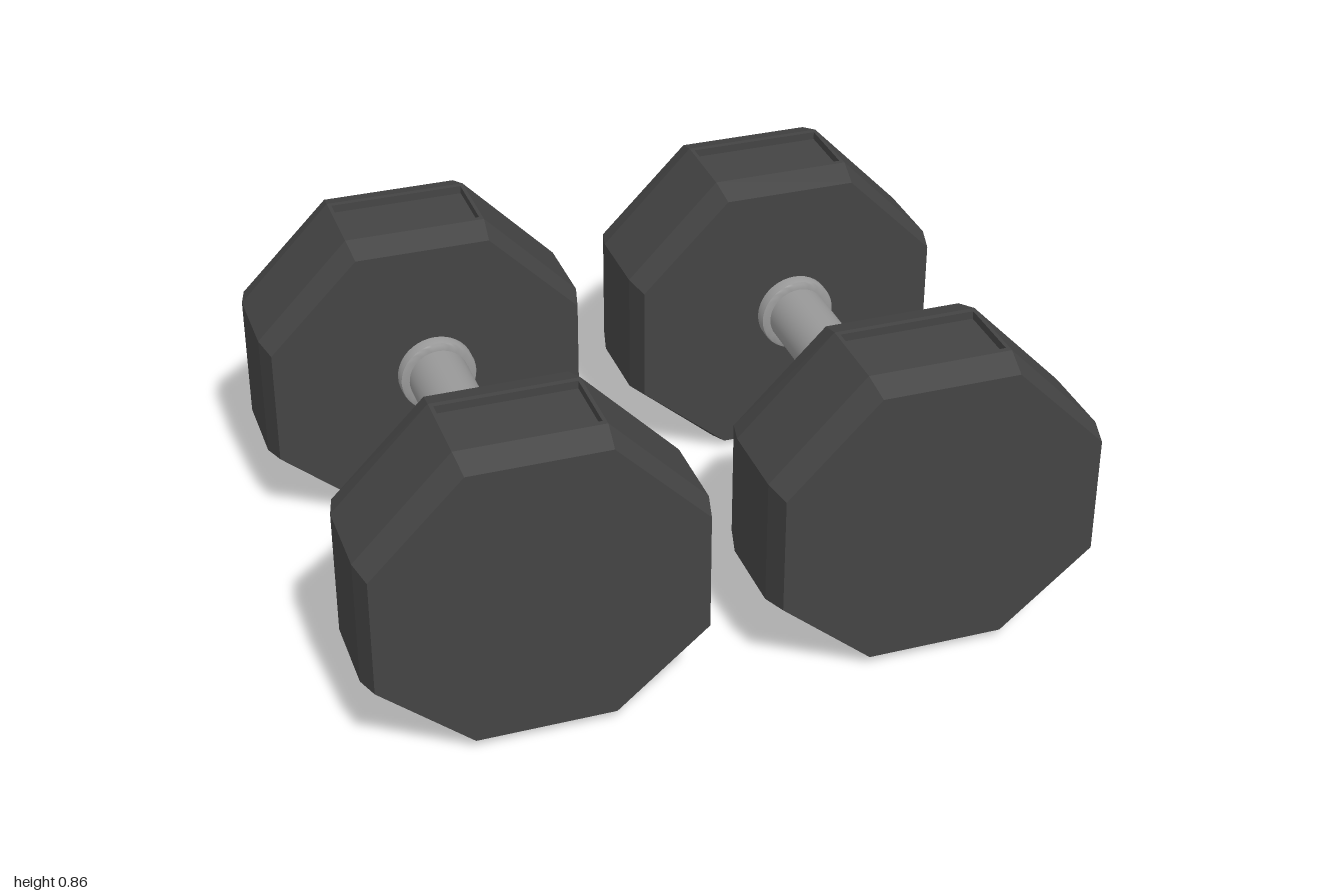
import * as THREE from 'three';
import { toCreasedNormals } from 'three/addons/utils/BufferGeometryUtils.js';

const darkMat = new THREE.MeshStandardMaterial({ color: 0x444444, flatShading: true });
const steelMat = new THREE.MeshStandardMaterial({ color: 0x999999 });

const HEAD_Y = 0.4275, HANDLE_Y = 0.441, HANDLE_OFFSET = 0.02;

// Eight-sided head, chamfered at both ends, with a sunken plate in its top facet
function headGeometry() {
  const pos = [];
  const tri = (...pts) => pts.forEach((p) => pos.push(...p));
  const quad = (a, b, c, d) => tri(a, b, c, a, c, d);
  const band = (a, b, skip = -1) => a.forEach((p, i) => {
    const j = (i + 1) % a.length;
    if (i !== skip) quad(p, b[i], b[j], a[j]);
  });
  const cap = (loop) => {
    for (let i = 1; i < loop.length - 1; i++) tri(loop[0], loop[i], loop[i + 1]);
  };

  const outline = [
    [0.46, -0.2], [0.46, 0.157], [0.197, 0.4275], [-0.197, 0.4275],
    [-0.46, 0.157], [-0.46, -0.2], [-0.197, -0.4275], [0.197, -0.4275],
  ];
  const ring = (z, sx, sy) => outline.map(([x, y]) => [x * sx, y * sy, z]);
  const front = ring(0.192, 0.957, 0.938), frontEdge = ring(0.114, 1, 1);
  const backEdge = ring(-0.114, 1, 1), back = ring(-0.192, 0.957, 0.938);
  cap(front);
  band(front, frontEdge);
  band(frontEdge, backEdge, 2); // the top facet is built below
  band(backEdge, back);
  cap([...back].reverse());

  const rect = (x, z, y) => [[-x, y, z], [x, y, z], [x, y, -z], [-x, y, -z]];
  const facet = rect(0.197, 0.114, 0.4275);
  const rim = rect(0.187, 0.099, 0.4275), floor = rect(0.187, 0.099, 0.405);
  band(rim, facet);
  band(floor, rim);
  cap(floor);

  const geo = new THREE.BufferGeometry();
  geo.setAttribute('position', new THREE.Float32BufferAttribute(pos, 3));
  geo.computeVertexNormals();
  return geo;
}

// Turned part along z, from [radius, z] pairs with z rising
function turned(profile) {
  const pts = profile.map(([r, z]) => new THREE.Vector2(r, z));
  return toCreasedNormals(new THREE.LatheGeometry(pts, 40).rotateX(Math.PI / 2), 0.7);
}

export function createModel() {
  const model = new THREE.Group();
  const head = headGeometry();
  const grip = turned([[0.0855, -0.38], [0.0855, 0.38]]);
  const frontCollar = turned([
    [0.08, 0.268], [0.102, 0.268], [0.109, 0.27], [0.115, 0.276], [0.119, 0.29], [0.119, 0.38],
  ]);
  const backCollar = turned([
    [0.11, -0.38], [0.11, -0.338], [0.108, -0.333], [0.102, -0.33], [0.08, -0.33],
  ]);

  for (const [side, cx] of [['right', -0.54], ['left', 0.54]]) {
    const dumbbell = new THREE.Group();
    dumbbell.name = `${side}Dumbbell`;
    dumbbell.position.x = cx;
    const add = (name, geo, mat, x, y, z = 0) => {
      const mesh = new THREE.Mesh(geo, mat);
      mesh.name = name;
      mesh.position.set(x, y, z);
      dumbbell.add(mesh);
    };
    add('frontHead', head, darkMat, 0, HEAD_Y, 0.561);
    add('backHead', head, darkMat, 0, HEAD_Y, -0.559);
    add('handle', grip, steelMat, HANDLE_OFFSET, HANDLE_Y);
    add('frontCollar', frontCollar, steelMat, HANDLE_OFFSET, HANDLE_Y);
    add('backCollar', backCollar, steelMat, HANDLE_OFFSET, HANDLE_Y);
    model.add(dumbbell);
  }
  return model;
}
